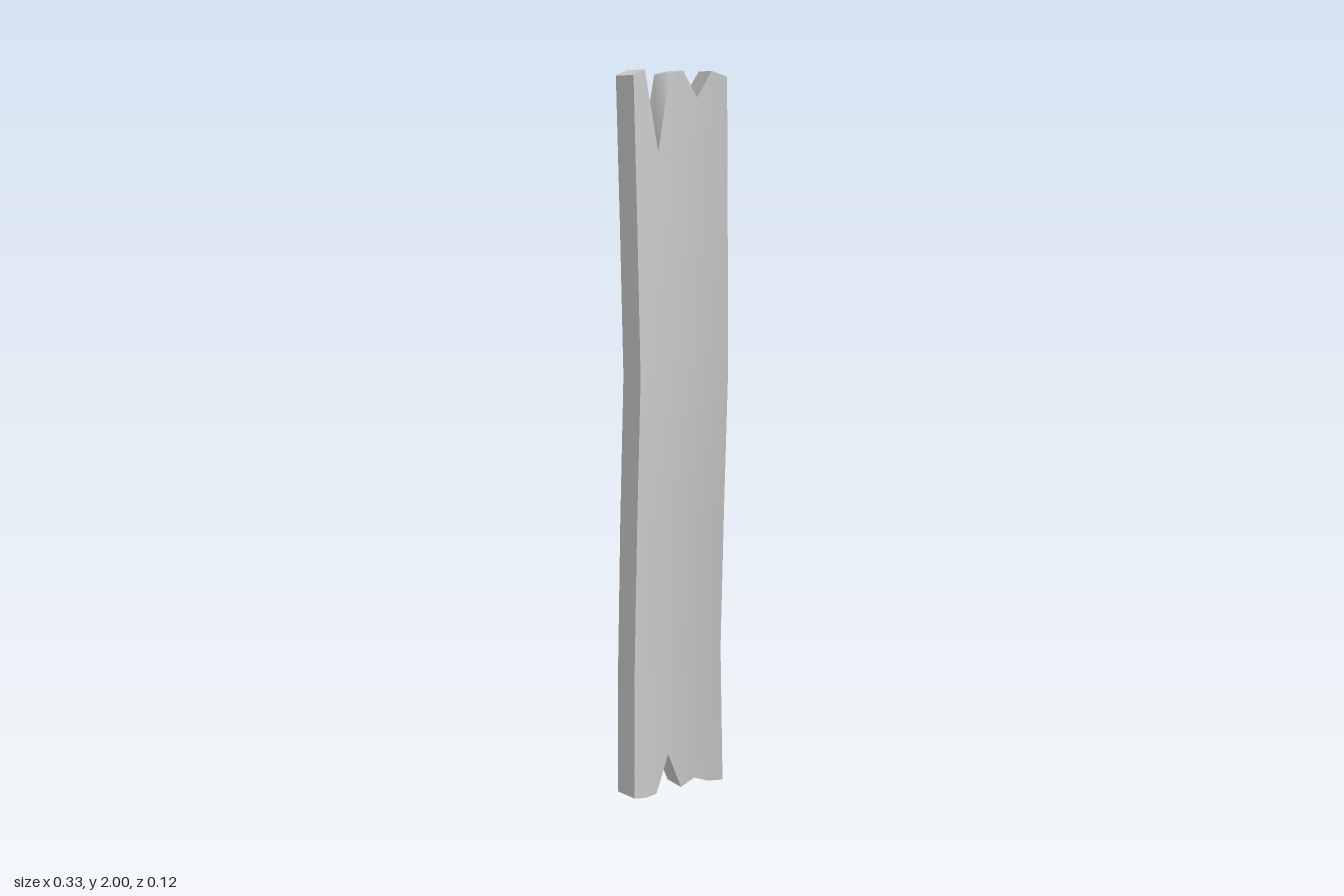
import * as THREE from 'three';
import { toCreasedNormals } from 'three/addons/utils/BufferGeometryUtils.js';

// Jagged end heights for the 8 evenly spaced columns, left to right
const TOP = [1.985, 2, 1.79, 1.99, 2, 1.93, 2, 1.985];
const BOTTOM = [0.015, 0.002, 0.002, 0.11, 0, 0.02, 0.003, 0];
const COLS = TOP.length;

// Warp of the plank along its height: [y, low-x edge dx, high-x edge dx, dz]
const WARP = [
  [0, -0.004, 0.001, 0],
  [0.4, -0.003, -0.011, 0.003],
  [0.8, -0.003, -0.013, 0.018],
  [1.2, 0.006, -0.006, 0.024],
  [1.6, 0.006, -0.001, 0.011],
  [2, 0.003, 0.002, 0],
];

function warpAt(y) {
  const i = Math.min(WARP.length - 2, Math.floor(y / 0.4 + 1e-6));
  const t = (y - WARP[i][0]) / 0.4;
  return WARP[i].map((v, k) => THREE.MathUtils.lerp(v, WARP[i + 1][k], t));
}

// Point on the curved plank: u runs -1..1 across, the back bulges to -z
function plankPoint(u, y, back) {
  const [, low, high, dz] = warpAt(y);
  const x = u * (back ? 0.16 : 0.15) + THREE.MathUtils.lerp(low, high, (u + 1) / 2);
  const z = back ? -0.06 + 0.025 * u * u : 0.01 + 0.023 * u * u;
  return [x, y, z + dz];
}

function plankGeometry() {
  const positions = [], index = [];
  const ring = COLS * 2, rows = WARP.length;
  const quad = (a, b, c, d) => index.push(a, b, c, a, c, d);

  // Rings: front columns left to right, then back columns right to left
  for (let r = 0; r < rows; r++) {
    for (let k = 0; k < ring; k++) {
      const back = k >= COLS;
      const col = back ? ring - 1 - k : k;
      const y = r === 0 ? BOTTOM[col] : r === rows - 1 ? TOP[col] : WARP[r][0];
      positions.push(...plankPoint((2 * col) / (COLS - 1) - 1, y, back));
    }
  }

  // Walls
  for (let r = 0; r < rows - 1; r++) {
    for (let k = 0; k < ring; k++) {
      const n = (k + 1) % ring, a = r * ring, b = a + ring;
      quad(a + k, a + n, b + n, b + k);
    }
  }

  // Splintered ends
  const t = (rows - 1) * ring;
  for (let i = 0; i < COLS - 1; i++) {
    const j = ring - 1 - i;
    quad(t + i, t + i + 1, t + j - 1, t + j);
    quad(i, j, j - 1, i + 1);
  }

  const geometry = new THREE.BufferGeometry();
  geometry.setAttribute('position', new THREE.Float32BufferAttribute(positions, 3));
  geometry.setIndex(index);
  return toCreasedNormals(geometry, 1.2);
}

export function createModel() {
  const group = new THREE.Group();
  group.name = 'brokenPlank';
  const plank = new THREE.Mesh(
    plankGeometry(),
    new THREE.MeshStandardMaterial({ color: 0xcccccc })
  );
  plank.name = 'plank';
  group.add(plank);
  return group;
}
